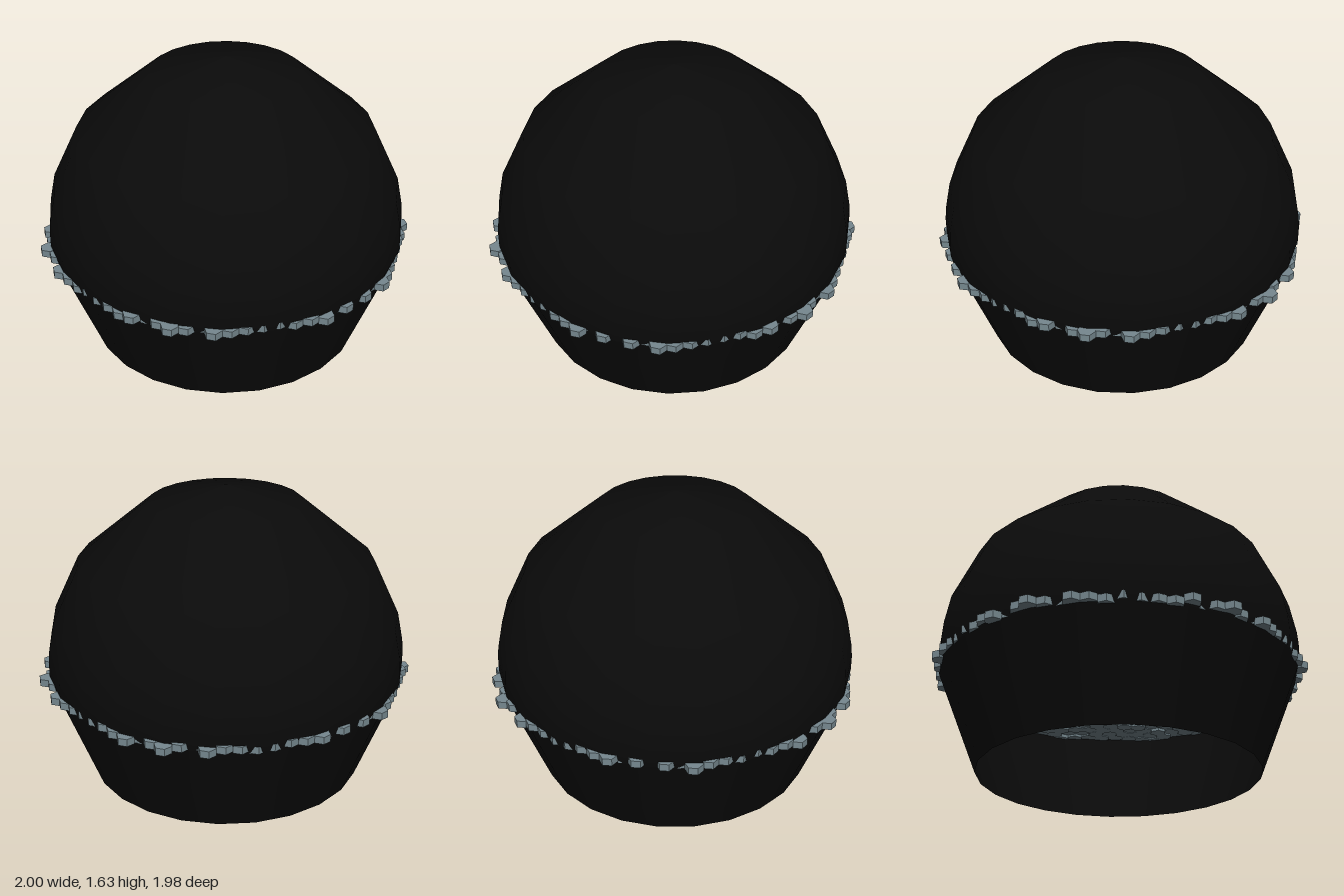
import * as THREE from 'three';
import { mergeGeometries } from 'three/addons/utils/BufferGeometryUtils.js';

const SEGMENTS = 24;
const PITCH = 1 / 12; // spacing of tiles within a row
const ROW = PITCH * Math.sqrt(3) / 2;
const TILE_Y = 0.57;

// Smooth turned shell, visible from both sides
function shell(name, profile, material) {
  const points = profile.map(([r, y]) => new THREE.Vector2(r, y));
  const mesh = new THREE.Mesh(new THREE.LatheGeometry(points, SEGMENTS), material);
  mesh.name = name;
  return mesh;
}

// Small seeded generator for the uneven tile heights
function seeded(seed) {
  return () => {
    seed = (seed * 16807) % 2147483647;
    return seed / 2147483647;
  };
}

// Disc of hexagonal prisms in staggered rows
function tileGeometry() {
  const random = seeded(71);
  const tile = new THREE.CylinderGeometry(PITCH / Math.sqrt(3), PITCH / Math.sqrt(3), 0.04, 6);
  const tiles = [];
  for (let row = -13; row <= 13; row++) {
    const shift = row % 2 ? 0.5 : 0;
    for (let col = -12; col <= 12; col++) {
      const x = (col + shift) * PITCH;
      const z = row * ROW;
      if (Math.hypot(x, z) > 1.001 || Math.abs(x) > 0.97) continue;
      tiles.push(tile.clone().translate(x, TILE_Y + (random() - 0.5) * 0.022, z));
    }
  }
  return mergeGeometries(tiles);
}

export function createModel() {
  const group = new THREE.Group();
  group.name = 'domeWithTiledFloor';

  const black = new THREE.MeshStandardMaterial({ color: 0x0a0a0a, side: THREE.DoubleSide });
  const slate = new THREE.MeshStandardMaterial({ color: 0x76888f, flatShading: true });

  // Tapered base, open underneath
  group.add(shell('base', [[0.76, 0], [0.977, 0.55]], black));

  // Rounded dome with a shallow faceted crown
  group.add(shell('dome', [
    [0.977, 0.55], [0.988, 0.6], [0.988, 0.68], [0.982, 0.75],
    [0.95, 0.91], [0.81, 1.21], [0.415, 1.54], [0, 1.63],
  ], black));

  // Tiled floor, its edge poking out between base and dome
  const floor = new THREE.Mesh(tileGeometry(), slate);
  floor.name = 'hexTileFloor';
  group.add(floor);

  return group;
}
